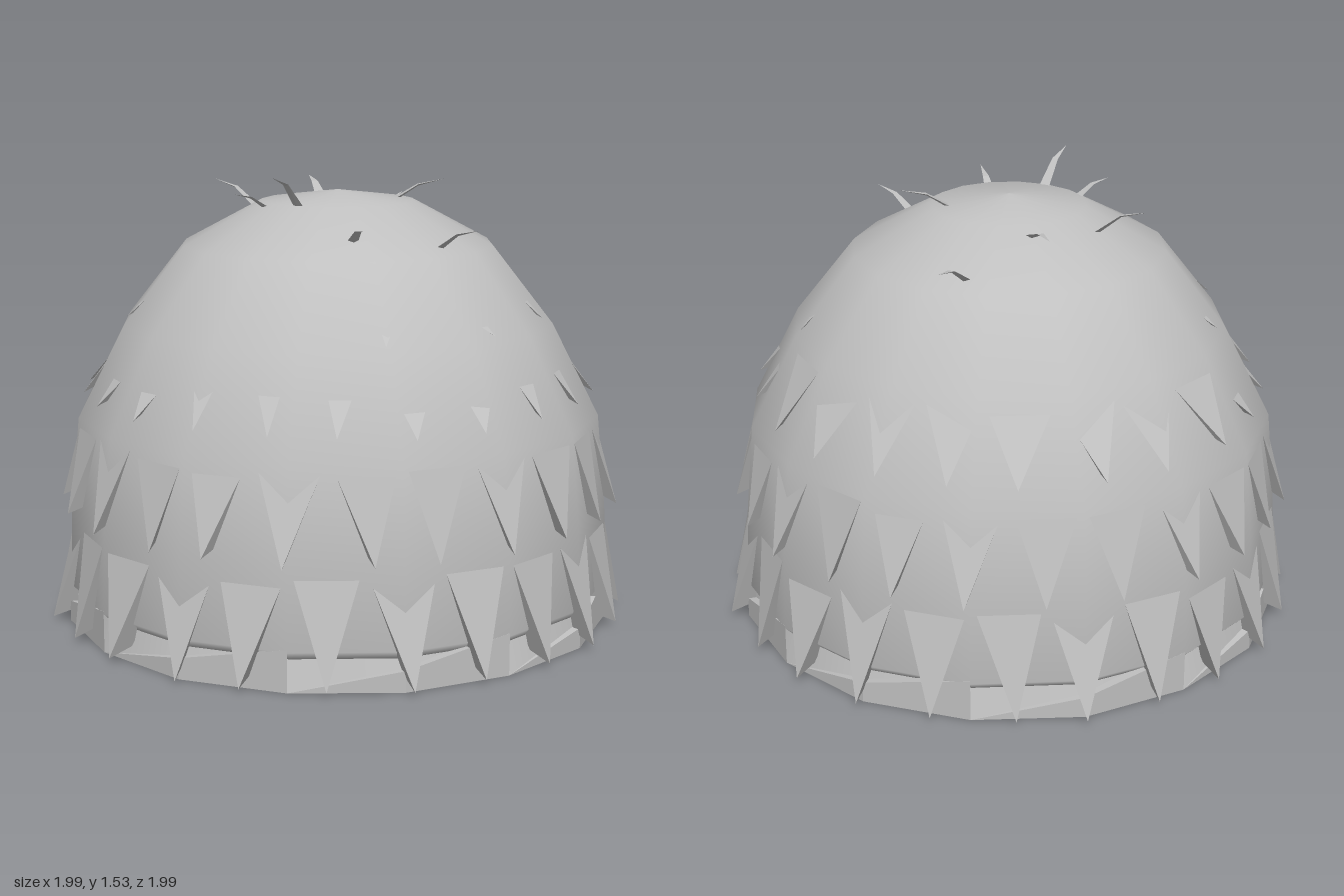
import * as THREE from 'three';

const grey = new THREE.MeshStandardMaterial({ color: 0xc0c0c0 });
grey.name = 'warm grey';
grey.side = THREE.DoubleSide;

const SIDES = 16;
const STEP = Math.PI * 2 / SIDES;

// Dome outline as radius and height, bottom to top; the first point is the undercut
const PROFILE = [[0.905, 0.1], [0.935, 0.13], [0.925, 0.4], [0.895, 0.71], [0.735, 1.02],
  [0.53, 1.28], [0.26, 1.425], [0, 1.46]];

// Radius of the sixteen-sided dome at a height and angle
function surface(y, a) {
  const t = ((a % STEP) + STEP) % STEP;
  const flat = Math.cos(STEP / 2) / Math.cos(t - STEP / 2);
  if (y <= PROFILE[1][1]) return PROFILE[1][0] * flat;
  const i = PROFILE.findIndex(p => y <= p[1]);
  const [r0, y0] = PROFILE[i - 1], [r1, y1] = PROFILE[i];
  return (r0 + (r1 - r0) * (y - y0) / (y1 - y0)) * flat;
}

let seed = 7;
const rand = () => (seed = (seed * 16807) % 2147483647) / 2147483647;

const polar = (r, a, y) => new THREE.Vector3(Math.sin(a) * r, y, Math.cos(a) * r);

// Flat-shaded mesh from a list of triangles
function facets(name, triangles) {
  const geo = new THREE.BufferGeometry().setFromPoints(triangles.flat());
  geo.computeVertexNormals();
  const mesh = new THREE.Mesh(geo, grey);
  mesh.name = name;
  return mesh;
}

// Smooth turned shell
function turned(name, profile) {
  const points = profile.map(([r, y]) => new THREE.Vector2(r, y));
  const mesh = new THREE.Mesh(new THREE.LatheGeometry(points, SIDES), grey);
  mesh.name = name;
  return mesh;
}

// Down-pointing wedge growing out of the dome, its tip standing off
function feather(a, top, tip, halfWidth, lift) {
  const da = halfWidth / surface(top, a);
  const on = (angle, y, out) => polar(surface(y, angle) + out, angle, y);
  const l = on(a - da, top, -0.003), r = on(a + da, top, -0.003);
  const point = on(a + (rand() - 0.5) * 0.06, tip, lift);
  const back = on(a, tip + 0.03, -0.02);
  return [[l, point, r], [l, back, point], [r, point, back]];
}

function featherRow(name, count, offset, top, tip, halfWidth, lift, keep = () => true) {
  const tris = [];
  for (let i = 0; i < count; i++) {
    const a = (i + offset) / count * Math.PI * 2;
    const jitter = (rand() - 0.5) * 0.06;
    if (keep(a)) tris.push(...feather(a, top + jitter, tip + jitter * 0.2, halfWidth, lift));
  }
  return facets(name, tris);
}

// Thin bent quill from root to tip, seen from above as a narrow triangle
function quill(x0, z0, x1, z1, y0, y1) {
  const root = new THREE.Vector3(x0, y0 - 0.01, z0), tip = new THREE.Vector3(x1, y1, z1);
  const mid = root.clone().lerp(tip, 0.5);
  mid.y = y0 + (y1 - y0) * 0.72;
  const side = new THREE.Vector3(z1 - z0, 0, x0 - x1).normalize();
  const at = (p, w, drop) => p.clone().addScaledVector(side, w).add(new THREE.Vector3(0, -drop, 0));
  const a = [at(root, 0.019, 0), at(root, -0.019, 0), at(root, 0, 0.012)];
  const b = [at(mid, 0.011, 0), at(mid, -0.011, 0), at(mid, 0, 0.006)];
  const tris = [];
  for (let i = 0; i < 3; i++) {
    const j = (i + 1) % 3;
    tris.push([a[i], a[j], b[j]], [a[i], b[j], b[i]], [b[i], b[j], tip]);
  }
  return facets('topQuill', tris);
}

export function createModel() {
  const model = new THREE.Group();
  model.name = 'featheredDome';

  // Smooth dome with an undercut rim, sloping foot and flat underside
  const base = new THREE.Mesh(new THREE.CircleGeometry(0.935, SIDES).rotateX(Math.PI / 2), grey);
  base.name = 'underside';
  model.add(turned('dome', PROFILE), turned('foot', [[0.935, 0], [0.905, 0.1]]), base);

  // Long slanted flaps rising from the foot to the rim, leaving wedge-shaped gaps
  const flaps = [];
  for (let i = 0; i < SIDES; i += 2) {
    const a = (i - 1) * STEP;
    const low = polar(0.935, a, 0), mid = polar(0.94, a + STEP, 0), far = polar(0.935, a + STEP * 2, 0);
    const rise = polar(0.94, a + STEP, 0.07), high = polar(0.935, a + STEP * 2, 0.14);
    flaps.push([low, mid, rise], [mid, far, high], [mid, high, rise], [low, rise, high]);
  }
  model.add(facets('footFlaps', flaps));

  // Zigzag feather rows, from foot to shoulder; the upper row is larger at the back
  const backSide = a => Math.cos(a - Math.PI * 1.13) > 0.5;
  const flank = a => !backSide(a) && Math.abs(Math.sin(a)) > 0.3;
  model.add(
    featherRow('lowerFeathers', 24, 0, 0.36, 0.02, 0.105, 0.065),
    featherRow('middleFeathers', 24, 0.5, 0.71, 0.405, 0.105, 0.045),
    featherRow('upperFeathers', 22, 0, 0.89, 0.785, 0.04, 0.025, a => !backSide(a)),
    featherRow('upperBackFeathers', 22, 0, 1.0, 0.775, 0.105, 0.025, backSide),
    featherRow('shoulderFeathers', 12, 0.5, 1.09, 1.045, 0.018, 0.012, flank));

  // Sparse quills on the crown: root x, z, tip x, z, root y, tip y
  const quills = [
    [0, 0.24, 0, 0.4, 1.43, 1.53], [-0.33, 0, -0.51, 0, 1.39, 1.47],
    [-0.21, -0.22, -0.37, -0.39, 1.42, 1.46], [0.14, -0.12, 0.28, -0.24, 1.43, 1.49],
    [-0.1, -0.45, -0.13, -0.66, 1.32, 1.39], [0.45, 0.1, 0.61, 0.13, 1.31, 1.37],
    [-0.14, 0.22, -0.2, 0.33, 1.42, 1.46], [0.25, 0.31, 0.39, 0.47, 1.34, 1.39]];
  for (const q of quills) model.add(quill(...q));

  return model;
}
